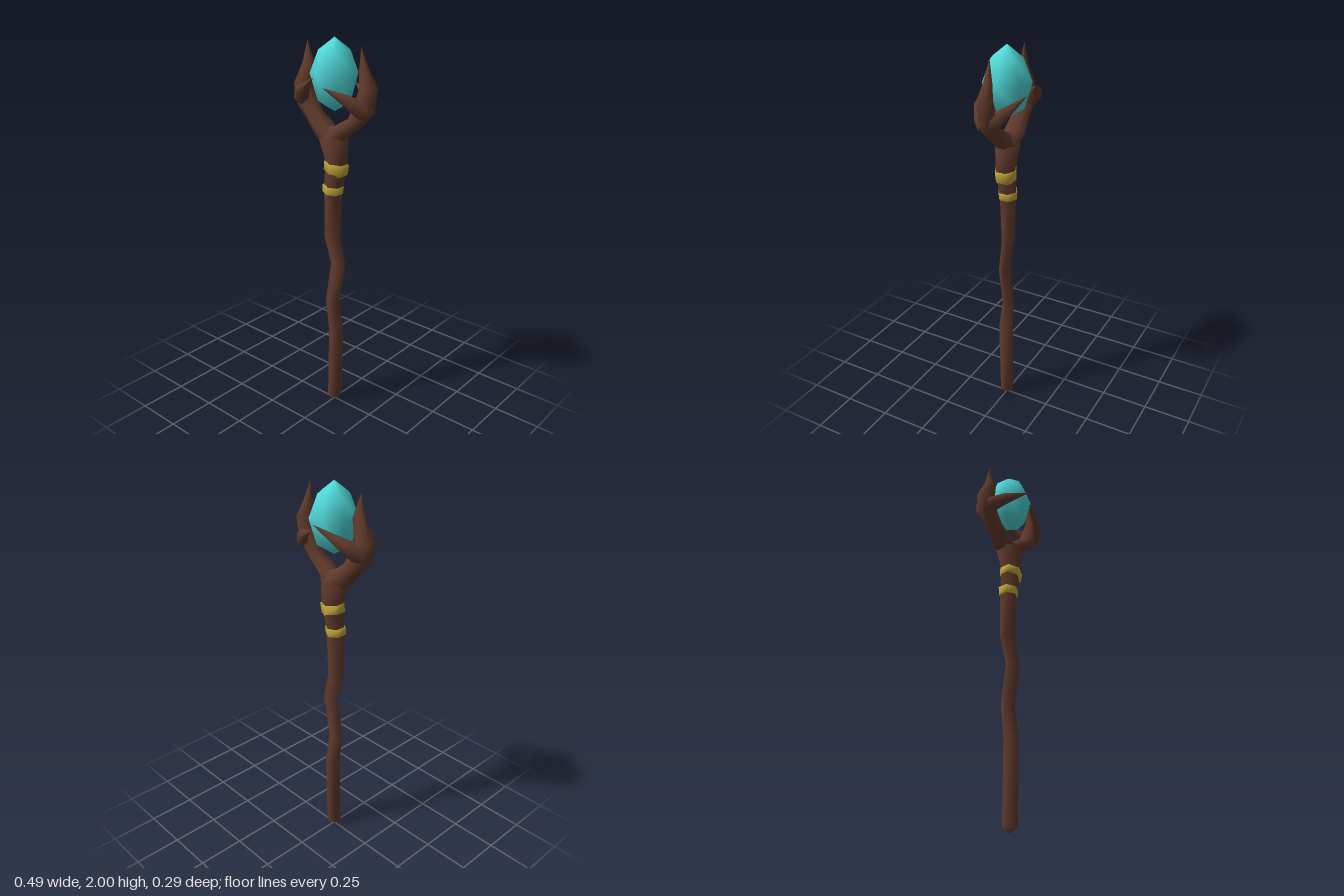
import * as THREE from 'three';

const wood = new THREE.MeshStandardMaterial({ name: 'brown wood', color: 0x613b2c });
const gem = new THREE.MeshStandardMaterial({ name: 'turquoise crystal', color: 0x4fd8d8 });
const gold = new THREE.MeshStandardMaterial({ name: 'gold wrap', color: 0xc9aa3a });

const Z = new THREE.Vector3(0, 0, 1);
const Y = new THREE.Vector3(0, 1, 0);

// Six-sided limb through sections [x, y, z, radius across, radius along hint]
function limb(name, material, sections, hint = Z, sides = 6) {
  const centres = sections.map(s => new THREE.Vector3(s[0], s[1], s[2]));
  const position = [], index = [];
  sections.forEach(([, , , ra, rb], i) => {
    const before = centres[Math.max(i - 1, 0)];
    const after = centres[Math.min(i + 1, centres.length - 1)];
    const t = after.clone().sub(before).normalize();
    const a = t.clone().cross(hint).normalize();
    const b = a.clone().cross(t);
    for (let j = 0; j < sides; j++) {
      const angle = (j + 0.5) / sides * Math.PI * 2;
      const p = centres[i].clone()
        .addScaledVector(a, Math.cos(angle) * ra)
        .addScaledVector(b, Math.sin(angle) * rb);
      position.push(p.x, p.y, p.z);
      if (i === sections.length - 1) continue;
      const k = i * sides + j, n = i * sides + (j + 1) % sides;
      index.push(k, k + sides, n, n, k + sides, n + sides);
    }
  });
  const geometry = new THREE.BufferGeometry();
  geometry.setAttribute('position', new THREE.Float32BufferAttribute(position, 3));
  geometry.setIndex(index);
  geometry.computeVertexNormals();
  const mesh = new THREE.Mesh(geometry, material);
  mesh.name = name;
  return mesh;
}

export function createModel() {
  const staff = new THREE.Group();
  staff.name = 'staff';

  // Crooked shaft, swelling at the fork
  staff.add(limb('shaft', wood, [
    [0, 0.005, 0, 0.001, 0.001],
    [0.002, 0.03, 0, 0.038, 0.04],
    [0.012, 0.45, 0, 0.038, 0.043],
    [-0.014, 0.62, 0, 0.039, 0.032],
    [0.026, 0.845, 0, 0.044, 0.027],
    [-0.014, 0.99, 0, 0.047, 0.033],
    [-0.009, 1.24, 0, 0.046, 0.047],
    [0.013, 1.4, 0, 0.06, 0.052],
    [-0.008, 1.52, 0, 0.078, 0.068],
    [0, 1.572, 0, 0.025, 0.025],
    [0, 1.574, 0, 0.001, 0.001],
  ]));

  // Wrapped bands
  staff.add(limb('upperBand', gold, [
    [0.006, 1.346, 0, 0.05, 0.048],
    [0.007, 1.347, 0, 0.064, 0.056],
    [0.014, 1.394, 0, 0.066, 0.057],
    [0.014, 1.395, 0, 0.05, 0.048],
  ]));
  staff.add(limb('lowerBand', gold, [
    [-0.012, 1.231, 0, 0.04, 0.042],
    [-0.012, 1.232, 0, 0.052, 0.051],
    [-0.009, 1.272, 0, 0.056, 0.053],
    [-0.009, 1.273, 0, 0.04, 0.042],
  ]));

  // Curved arms ending in upright tines
  staff.add(limb('rightArm', wood, [
    [0, 1.5, 0, 0.05, 0.05],
    [-0.07, 1.555, 0, 0.055, 0.058],
    [-0.125, 1.61, 0, 0.046, 0.05],
    [-0.178, 1.68, 0, 0.056, 0.05],
    [-0.2, 1.755, 0, 0.053, 0.045],
    [-0.163, 1.86, 0, 0.036, 0.026],
    [-0.17, 1.97, 0, 0.001, 0.001],
  ]));
  staff.add(limb('leftArm', wood, [
    [0, 1.5, 0, 0.045, 0.05],
    [0.055, 1.565, 0, 0.04, 0.055],
    [0.125, 1.61, 0, 0.036, 0.045],
    [0.182, 1.685, 0, 0.056, 0.046],
    [0.206, 1.785, 0, 0.044, 0.042],
    [0.178, 1.86, 0, 0.026, 0.024],
    [0.16, 1.965, 0, 0.001, 0.001],
  ]));

  // Claws that reach round the crystal, front and back
  for (const s of [1, -1]) {
    const side = s > 0 ? 'Front' : 'Back';
    staff.add(limb('right' + side + 'Claw', wood, [
      [-0.19, 1.69, 0, 0.045, 0.05],
      [-0.178, 1.715, s * 0.04, 0.042, 0.045],
      [-0.135, 1.75, s * 0.08, 0.036, 0.032],
      [-0.012, 1.825, s * 0.143, 0.001, 0.001],
    ], Y));
    staff.add(limb('left' + side + 'Claw', wood, [
      [0.2, 1.67, 0, 0.038, 0.045],
      [0.178, 1.695, s * 0.04, 0.032, 0.04],
      [0.13, 1.733, s * 0.077, 0.024, 0.027],
      [0.03, 1.78, s * 0.118, 0.001, 0.001],
    ], Y));
  }

  // Seven-sided crystal
  const profile = [[0, 1.65], [0.083, 1.7], [0.12, 1.83], [0.078, 1.94], [0, 2]]
    .map(p => new THREE.Vector2(...p));
  const crystal = new THREE.Mesh(new THREE.LatheGeometry(profile, 7, -0.12), gem);
  crystal.name = 'crystal';
  staff.add(crystal);

  return staff;
}
